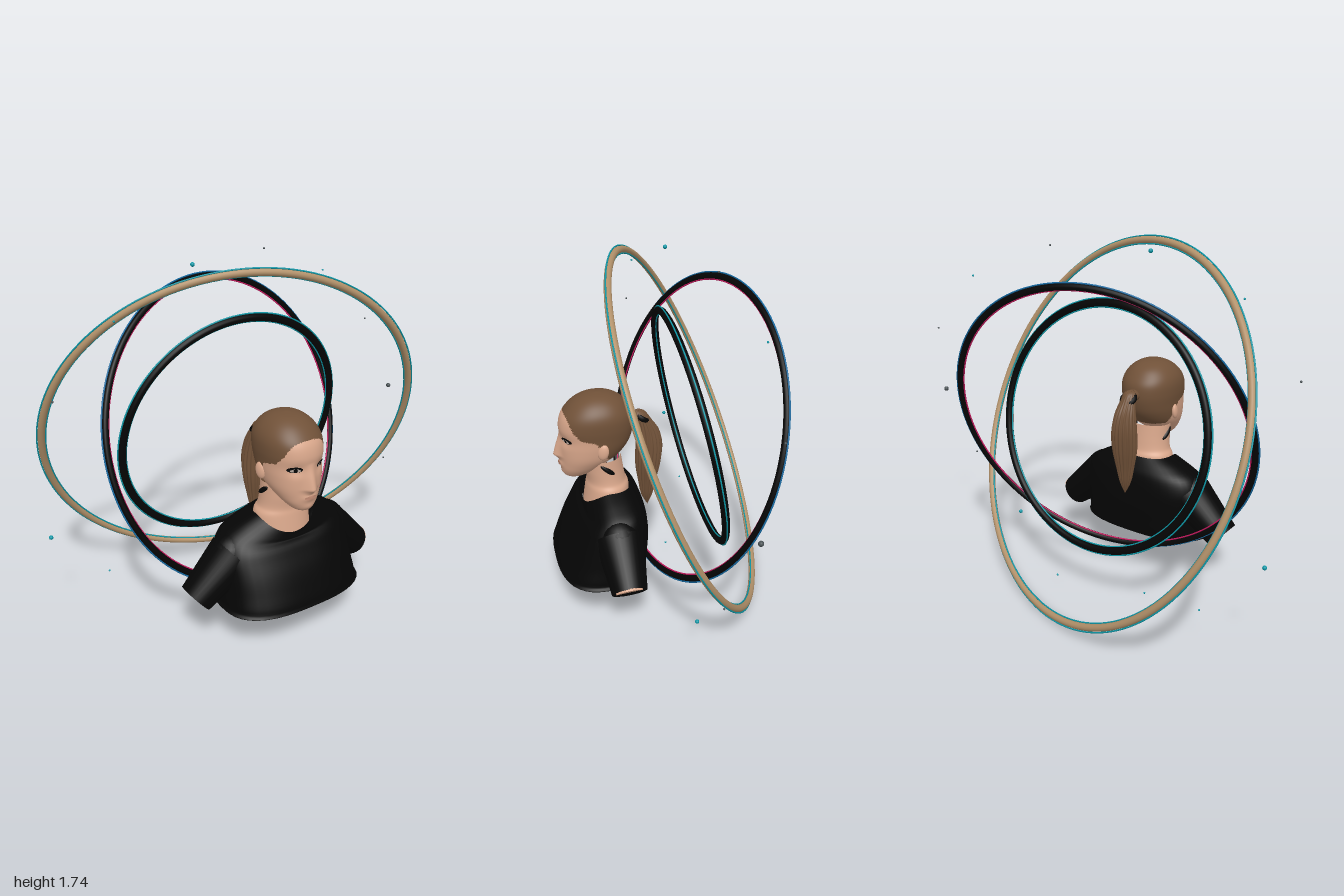
import * as THREE from 'three';

const CX = -0.055; // centre line of the bust and the rings
const mat = (name, color, side = THREE.FrontSide) => {
  const m = new THREE.MeshStandardMaterial({ color, side });
  m.name = name;
  return m;
};

// Smooth interpolation through rows of numbers, t in 0..1
function sampleRows(rows, t) {
  const f = t * (rows.length - 1), i = Math.min(Math.floor(f), rows.length - 2), u = f - i;
  const r = k => rows[Math.max(0, Math.min(rows.length - 1, k))];
  return rows[i].map((_, c) => {
    const [a, b, d, e] = [r(i - 1)[c], r(i)[c], r(i + 1)[c], r(i + 2)[c]];
    return b + 0.5 * u * (d - a + u * (2 * a - 5 * b + 4 * d - e + u * (3 * (b - d) + e - a)));
  });
}

// Stack of rounded horizontal sections; rows are [y, halfWidth, zFront, zBack]
function loft(rows, { seg = 48, steps = 30, p = 2, shape = null, isSecond = null } = {}) {
  const pos = [], first = [], second = [];
  for (let j = 0; j <= steps; j++) {
    const [y, hx, zf, zb] = sampleRows(rows, j / steps);
    for (let i = 0; i < seg; i++) {
      const a = (i / seg) * Math.PI * 2, c = Math.cos(a), s = Math.sin(a);
      const k = Math.pow(Math.abs(c) ** p + Math.abs(s) ** p, -1 / p);
      const v = new THREE.Vector3(Math.max(hx, 0) * c * k, y, (zf + zb) / 2 + Math.max(zf - zb, 0) / 2 * s * k);
      if (shape) shape(v, a, y);
      pos.push(v.x, v.y, v.z);
    }
  }
  const put = (...t) => {
    const mean = o => t.reduce((sum, n) => sum + pos[n * 3 + o], 0) / 3;
    (isSecond && isSecond(mean(1), mean(2)) ? second : first).push(...t);
  };
  for (let j = 0; j < steps; j++) for (let i = 0; i < seg; i++) {
    const n = (i + 1) % seg, a = j * seg + i, b = j * seg + n;
    put(a, a + seg, b);
    put(b, a + seg, b + seg);
  }
  const g = new THREE.BufferGeometry();
  g.setAttribute('position', new THREE.Float32BufferAttribute(pos, 3));
  g.setIndex([...first, ...second]);
  g.addGroup(0, first.length, 0);
  if (second.length) g.addGroup(first.length, second.length, 1);
  g.computeVertexNormals();
  return g;
}

const HEAD = [
  [0.688, 0, 0.475, 0.475], [0.695, 0.042, 0.508, 0.41], [0.73, 0.078, 0.525, 0.35], [0.77, 0.105, 0.528, 0.29],
  [0.81, 0.124, 0.53, 0.235], [0.86, 0.135, 0.53, 0.195], [0.91, 0.14, 0.527, 0.175], [0.96, 0.145, 0.53, 0.167],
  [1.01, 0.143, 0.518, 0.172], [1.05, 0.128, 0.49, 0.195], [1.085, 0.097, 0.45, 0.23], [1.108, 0.055, 0.4, 0.28],
  [1.117, 0, 0.34, 0.34]];
const HEAD_P = 2.15;

// Forward push of nose, lips and chin, with hollow eye sockets
const faceBump = (x, y) => {
  const n = y > 0.81 ? Math.max(0, 1 - (y - 0.81) / 0.12) : Math.max(0, 1 - (0.81 - y) / 0.03);
  const g = (cx, cy, w, h) => Math.exp(-(((x - cx) / w) ** 2) - ((y - cy) / h) ** 2);
  return 0.033 * n * Math.exp(-((x / (0.018 + 0.01 * n)) ** 2)) + 0.011 * g(0, 0.765, 0.035, 0.018)
    + 0.006 * g(0, 0.715, 0.03, 0.018) - 0.01 * (g(0.065, 0.9, 0.03, 0.025) + g(-0.065, 0.9, 0.03, 0.025));
};

// Front surface of the face at a given x and y
function faceZ(x, y) {
  let lo = 0, hi = 1;
  for (let i = 0; i < 24; i++) {
    const m = (lo + hi) / 2;
    if (sampleRows(HEAD, m)[0] < y) lo = m; else hi = m;
  }
  const [, hx, zf, zb] = sampleRows(HEAD, lo);
  const q = Math.max(0, 1 - Math.abs(x / hx) ** HEAD_P) ** (1 / HEAD_P);
  return (zf + zb) / 2 + (zf - zb) / 2 * q + faceBump(x, y);
}

// Hairline: height above which the scalp is hair, by depth
const HAIRLINE = [[0.1, 0.82], [0.18, 0.815], [0.25, 0.795], [0.31, 0.8], [0.345, 0.87], [0.37, 0.91], [0.44, 0.925], [0.475, 0.965], [0.5, 1.03], [0.6, 1.045]];
function isHair(y, z) {
  const k = Math.max(1, HAIRLINE.findIndex(h => h[0] > z));
  const [a, b] = [HAIRLINE[k - 1], HAIRLINE[k]];
  return y > a[1] + (b[1] - a[1]) * (z - a[0]) / (b[0] - a[0]);
}

export function createModel() {
  const model = new THREE.Group();
  const skin = mat('skin', 0xd9a78b), hair = mat('hair', 0x705138), black = mat('black', 0x050505, THREE.DoubleSide);
  const gold = mat('gold', 0xb2916a), teal = mat('teal', 0x0c97a6), magenta = mat('magenta', 0xc8195f);
  const blue = mat('blue', 0x1468a0), white = mat('eye white', 0xb9aaa0), lip = mat('lip', 0xc08a73), grey = mat('grey', 0x4a5255);
  const bust = new THREE.Group();
  bust.name = 'bust';
  bust.position.x = CX;
  model.add(bust);
  const add = (name, geo, m, parent = bust) => {
    const mesh = new THREE.Mesh(geo, m);
    mesh.name = name;
    parent.add(mesh);
    return mesh;
  };
  const ball = (name, m, [x, y, z], [sx, sy, sz], parent = bust) => {
    const b = add(name, new THREE.SphereGeometry(1, 20, 14), m, parent);
    b.position.set(x, y, z);
    b.scale.set(sx, sy, sz);
    return b;
  };

  // Head with scalp hair, and neck
  add('head', loft(HEAD, {
    seg: 112, steps: 90, p: HEAD_P, isSecond: isHair,
    shape: (v, a, y) => { if (Math.sin(a) > 0.3) v.z += faceBump(v.x, y); },
  }), [skin, hair]);
  add('neck', loft([[0.53, 0.143, 0.427, 0.2], [0.62, 0.138, 0.412, 0.2], [0.66, 0.118, 0.405, 0.215],
    [0.72, 0.112, 0.41, 0.225], [0.79, 0.112, 0.41, 0.235]]), skin);

  // Thin facial details that follow the face
  const patch = (name, m, x, y, w, h, off) => {
    const g = new THREE.CircleGeometry(1, 20), p = g.attributes.position;
    for (let i = 0; i < p.count; i++) {
      const px = x + p.getX(i) * w, py = y + p.getY(i) * h;
      p.setXYZ(i, px, py, faceZ(px, py) + off);
    }
    g.computeVertexNormals();
    add(name, g, m);
  };
  patch('lips', lip, 0, 0.767, 0.032, 0.01, 0.003);
  for (const s of [-1, 1]) {
    patch('eyelashes', black, s * 0.069, 0.908, 0.031, 0.014, 0.003);
    patch('eyeWhite', white, s * 0.067, 0.904, 0.021, 0.008, 0.005);
    patch('iris', black, s * 0.067, 0.905, 0.008, 0.008, 0.007);
    ball('ear', skin, [s * 0.137, 0.86, 0.34], [0.015, 0.04, 0.027]).rotation.set(-0.2, s * -0.3, 0);
    ball('neckOrnament', black, [s * 0.102, 0.742, 0.317], [0.018, 0.014, 0.044]).rotation.x = -0.7;
  }

  // Ponytail with grooved strands and hair tie
  add('ponytail', loft([[0.455, 0, 0.1, 0.1], [0.52, 0.028, 0.13, 0.075], [0.6, 0.044, 0.143, 0.058],
    [0.7, 0.06, 0.155, 0.035], [0.8, 0.06, 0.152, 0.025], [0.88, 0.05, 0.15, 0.04], [0.94, 0.038, 0.15, 0.075],
    [0.985, 0.028, 0.16, 0.105], [1, 0, 0.14, 0.14]], {
    seg: 96, steps: 40,
    shape: (v, a, y) => { const k = 1 + 0.06 * Math.cos(18 * a + y * 9); v.x *= k; v.z = 0.1 + (v.z - 0.1) * k; },
  }), hair);
  ball('ponytailRoot', hair, [0, 0.965, 0.16], [0.035, 0.03, 0.04]);
  const tie = add('hairTie', new THREE.TorusGeometry(0.031, 0.014, 10, 24), black);
  tie.position.set(0, 0.958, 0.122);
  tie.rotation.x = 0.95;

  // Shirt body with a scooped neckline
  add('shirt', loft([[0.22, 0, 0.35, 0.35], [0.22, 0.335, 0.565, 0.17], [0.24, 0.352, 0.583, 0.14], [0.32, 0.345, 0.555, 0.13],
    [0.4, 0.342, 0.52, 0.125], [0.48, 0.338, 0.475, 0.13], [0.55, 0.305, 0.44, 0.145], [0.595, 0.23, 0.435, 0.17],
    [0.63, 0.145, 0.431, 0.196]], {
    p: 2.7, steps: 40,
    shape: (v, a, y) => { v.y -= 0.085 * Math.max(0, Math.sin(a)) ** 2 * THREE.MathUtils.smoothstep(y, 0.48, 0.63); },
  }), black);

  // Sleeves with dark closed cuffs
  for (const s of [-1, 1]) {
    const from = new THREE.Vector3(s * 0.265, 0.45, 0.3), to = new THREE.Vector3(s * 0.465, 0.277, 0.295);
    const dir = to.clone().sub(from), len = dir.length();
    ball('shoulder', black, from.toArray(), [0.113, 0.113, 0.108]);
    const arm = new THREE.Group();
    arm.name = 'arm';
    arm.position.copy(from);
    arm.quaternion.setFromUnitVectors(new THREE.Vector3(0, 1, 0), dir.normalize());
    bust.add(arm);
    const sleeve = add('sleeve', new THREE.CylinderGeometry(0.079, 0.112, len, 32), black, arm);
    sleeve.position.y = len / 2;
    sleeve.scale.z = 1.08;
    if (s < 0) continue;
    // Sliver of bare arm along the upper edge of the left cuff
    const sliver = new THREE.Shape();
    sliver.absarc(0, 0, 0.079, Math.PI - 0.7, Math.PI + 1.15, false);
    const bare = add('bareArm', new THREE.ExtrudeGeometry(sliver, { depth: 0.011, bevelEnabled: false, curveSegments: 16 }), skin, arm);
    bare.rotation.x = -Math.PI / 2;
    bare.position.y = len - 0.002;
  }

  // Tilted rings; accents are thin hoops: [radial offset, material]
  const rings = [
    ['outerRing', gold, 0.918, 0.017, [-0.296, -0.386, 0.874], [[0.021, teal], [-0.019, teal]]],
    ['middleRing', black, 0.746, 0.0155, [0.217, 0.305, 0.927], [[0.019, blue], [-0.0175, magenta]]],
    ['innerRing', black, 0.589, 0.019, [-0.03, -0.189, 0.98], [[0.0215, teal], [-0.0205, teal]]],
  ];
  for (const [name, m, R, r, n, accents] of rings) {
    const ring = new THREE.Group();
    ring.name = name;
    ring.position.set(CX, 0.876, -0.114);
    ring.quaternion.setFromUnitVectors(new THREE.Vector3(0, 0, 1), new THREE.Vector3(...n).normalize());
    model.add(ring);
    add(name + 'Tube', new THREE.TorusGeometry(R, r, 14, 128), m, ring);
    for (const [dr, am] of accents)
      add(name + 'Accent', new THREE.TorusGeometry(R + dr, 0.0036, 8, 128), am, ring);
  }

  // Small floating beads around the rings
  const beads = [
    [0.985, 0.875, -0.115, 0.012, grey], [0.885, 1.25, -0.23, 0.005, grey], [0.595, 1.55, -0.25, 0.005, teal],
    [0.175, 1.72, -0.175, 0.005, grey], [-0.285, 1.72, -0.055, 0.01, teal], [-0.705, 1.55, 0.02, 0.005, teal],
    [-0.99, 1.25, -0.005, 0.005, grey], [-0.99, 0.495, -0.225, 0.01, teal], [-0.705, 0.195, -0.25, 0.005, teal],
    [-0.285, 0.03, -0.055, 0.005, teal], [0.175, 0.03, -0.175, 0.005, teal], [0.595, 0.195, 0.018, 0.01, teal],
    [0.885, 0.495, -0.01, 0.005, grey]];
  for (const [x, y, z, r, m] of beads) ball('bead', m, [x, y, z], [r, r, r], model);
  return model;
}
